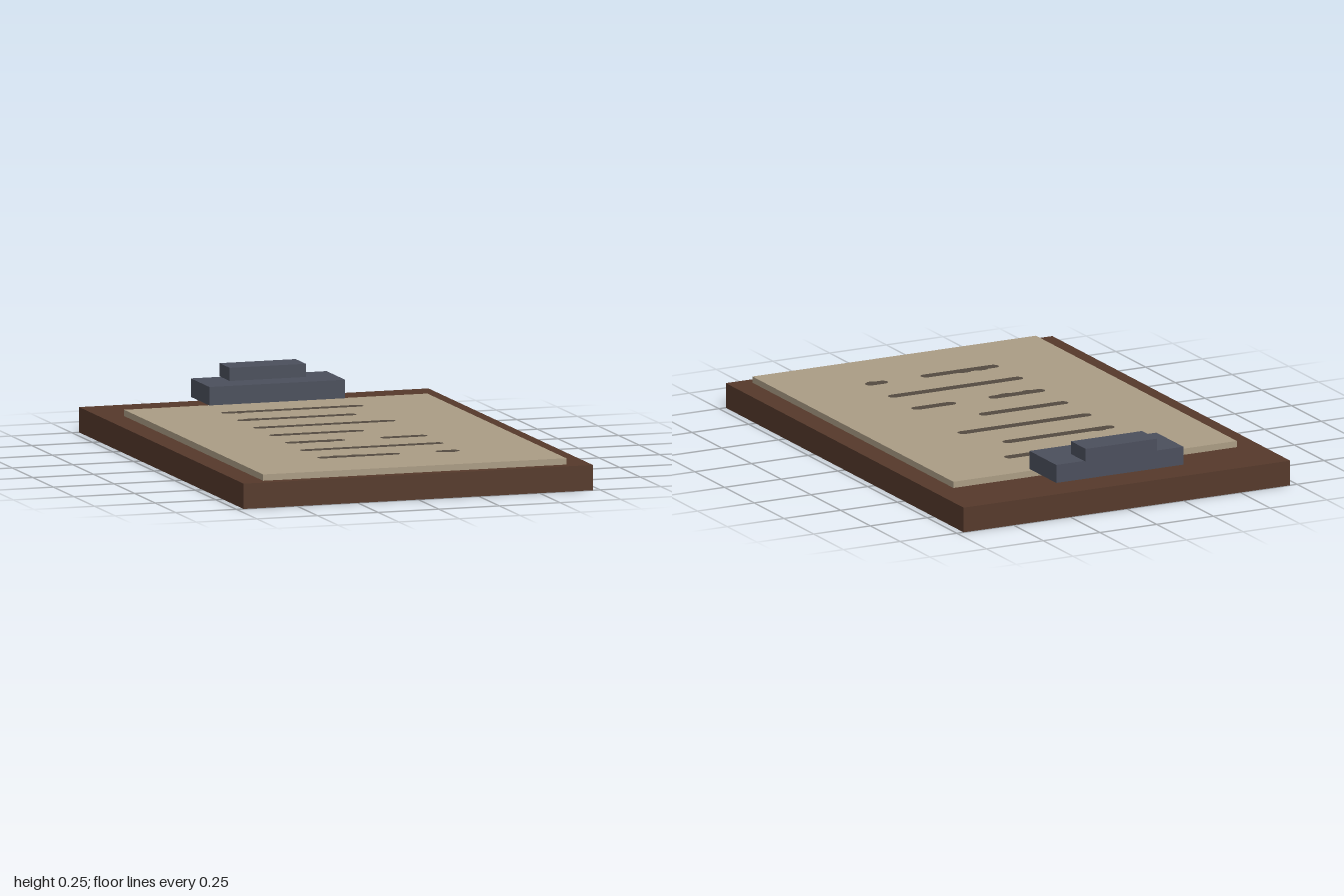
import * as THREE from 'three';

const material = (name, color) => {
  const m = new THREE.MeshStandardMaterial({ color });
  m.name = name;
  return m;
};

export function createModel() {
  const wood = material('brown wood', 0x55392b);
  const parchment = material('aged paper', 0xaa9c84);
  const metal = material('slate metal', 0x4b4f5c);
  const ink = material('dark ink', 0x534a40);
  const model = new THREE.Group();
  model.name = 'clipboard';

  // Box given by its extents on each axis
  const box = (name, mat, [x0, x1], [y0, y1], [z0, z1], parent = model) => {
    const mesh = new THREE.Mesh(new THREE.BoxGeometry(x1 - x0, y1 - y0, z1 - z0), mat);
    mesh.position.set((x0 + x1) / 2, (y0 + y1) / 2, (z0 + z1) / 2);
    mesh.name = name;
    parent.add(mesh);
  };

  box('board', wood, [-0.72, 0.72], [0, 0.1], [-1, 1]);
  box('paper', parchment, [-0.625, 0.625], [0.1, 0.125], [-0.733, 0.957]);

  // Two-step clip, its base level with the top of the paper
  const clip = new THREE.Group();
  clip.name = 'clip';
  model.add(clip);
  box('clipBase', metal, [-0.28, 0.28], [0.127, 0.2], [-0.94, -0.714], clip);
  box('clipGrip', metal, [-0.157, 0.157], [0.2, 0.252], [-0.953, -0.829], clip);

  // Flat written strokes with rounded ends: [z, start x, end x]
  const writing = new THREE.Group();
  writing.name = 'writing';
  model.add(writing);
  const addStroke = (z, x0, x1, r = 0.022, name = 'inkLine') => {
    const shape = new THREE.Shape();
    shape.absarc(x1 - r, 0, r, -Math.PI / 2, Math.PI / 2, false);
    shape.absarc(x0 + r, 0, r, Math.PI / 2, Math.PI * 1.5, false);
    const mesh = new THREE.Mesh(new THREE.ShapeGeometry(shape, 5), ink);
    mesh.rotation.x = -Math.PI / 2;
    mesh.position.set(0, 0.1265, z);
    mesh.name = name;
    writing.add(mesh);
  };
  [
    [-0.525, -0.295, 0.29], [-0.33, -0.295, 0.195], [-0.135, -0.295, 0.29],
    [0.06, -0.295, 0.095], [0.255, -0.295, -0.05], [0.255, 0.097, 0.29],
    [0.45, -0.3, 0.29], [0.645, -0.295, 0.045], [0.645, 0.193, 0.29],
  ].forEach(([z, x0, x1]) => addStroke(z, x0, x1));

  // Small ink swellings along the strokes
  [
    [-0.509, -0.24, -0.205], [-0.346, -0.25, -0.195], [0.27, -0.25, -0.205],
    [0.27, -0.155, -0.105], [0.629, -0.24, -0.185], [0.629, -0.165, -0.11],
    [0.661, 0.235, 0.275],
  ].forEach(([z, x0, x1]) => addStroke(z, x0, x1, 0.014, 'inkBlot'));

  return model;
}
